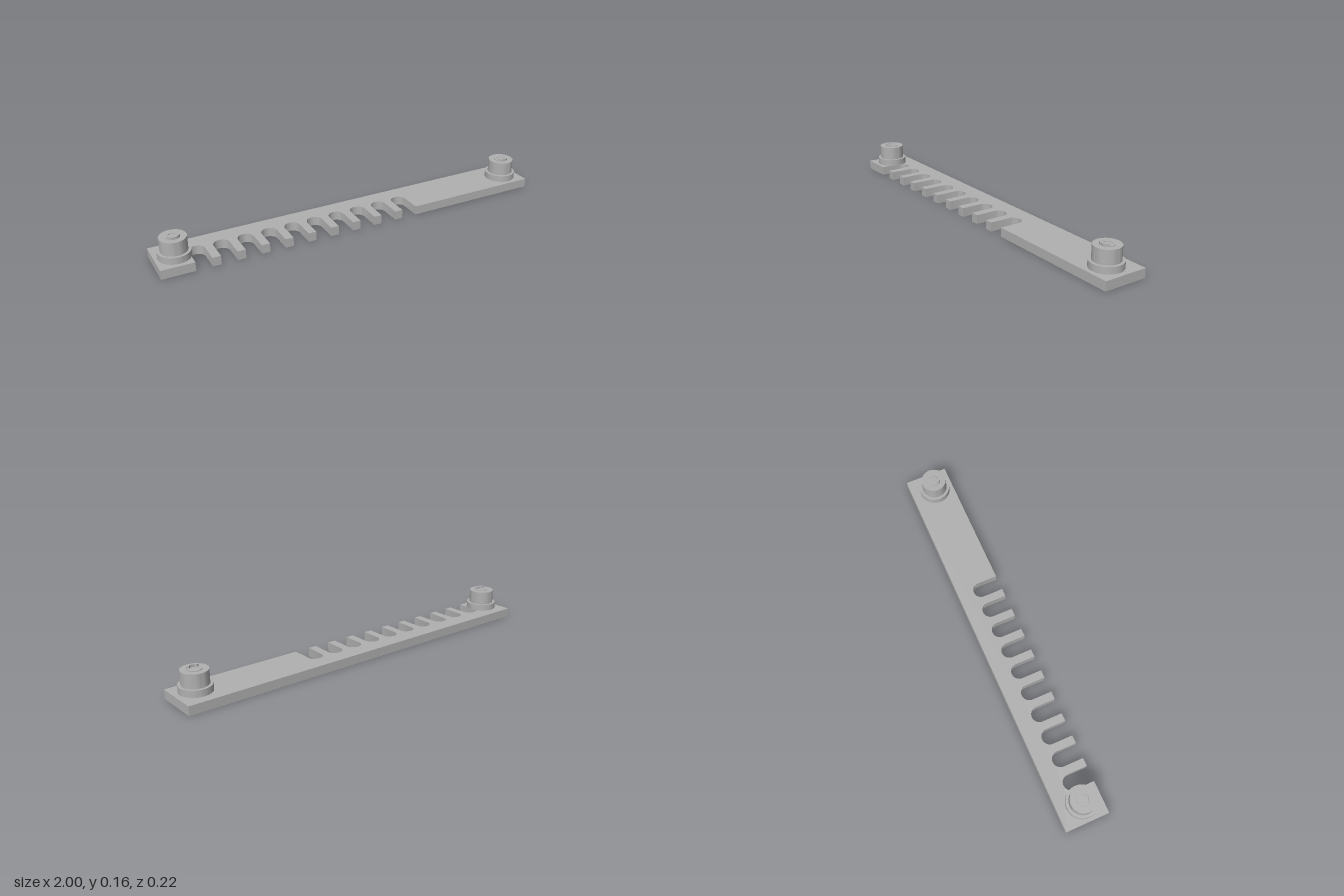
import * as THREE from 'three';
import { toCreasedNormals } from 'three/addons/utils/BufferGeometryUtils.js';

const grey = new THREE.MeshStandardMaterial({ color: 0xb0b0b0 });
grey.name = 'metal grey';

const PLATE_TOP = 0.045;

function mesh(name, geometry, parent) {
  const m = new THREE.Mesh(geometry, grey);
  m.name = name;
  parent.add(m);
  return m;
}

// Extrudes a plan outline (shape y = -z) upwards from y0 to y1
function slab(shape, y0, y1) {
  const g = new THREE.ExtrudeGeometry(shape, { depth: y1 - y0, bevelEnabled: false, curveSegments: 20 });
  g.rotateX(-Math.PI / 2);
  g.translate(0, y0, 0);
  return toCreasedNormals(g, Math.PI / 6);
}

// Flat bar with a comb of round-ended slots cut in from the front edge
function plateShape() {
  const s = new THREE.Shape();
  const r = 0.039, front = -0.11, arcCentre = -0.009;
  s.moveTo(-1, front);
  for (let i = 0; i < 10; i++) {
    const x = -0.802 + i * 0.1186;
    s.lineTo(x - r, front);
    s.lineTo(x - r, arcCentre);
    s.absarc(x, arcCentre, r, Math.PI, 0, true);
    s.lineTo(x + r, front);
  }
  s.lineTo(1, front);
  s.lineTo(1, 0.11);
  s.lineTo(-1, 0.11);
  s.closePath();
  return s;
}

// Part of a ring between two angles
function arcShape(inner, outer, a0, a1) {
  const s = new THREE.Shape();
  s.absarc(0, 0, outer, a0, a1, false);
  s.absarc(0, 0, inner, a1, a0, true);
  s.closePath();
  return s;
}

function createKnob(name, x) {
  const knob = new THREE.Group();
  knob.name = name;
  knob.position.set(x, 0, 0.013);

  // Wide flange with a narrower head above it
  const profile = [
    [0, PLATE_TOP], [0.0775, PLATE_TOP], [0.0775, 0.078],
    [0.0635, 0.078], [0.0635, 0.146], [0, 0.146],
  ].map(([r, y]) => new THREE.Vector2(r, y));
  mesh('flangedHead', toCreasedNormals(new THREE.LatheGeometry(profile, 48), Math.PI / 6), knob);

  // Low rim on the head, with its front part raised
  const rim = new THREE.Shape().absarc(0, 0, 0.034, 0, Math.PI * 2, false);
  rim.holes.push(new THREE.Path().absarc(0, 0, 0.022, 0, Math.PI * 2, true));
  mesh('lowRim', slab(rim, 0.144, 0.149), knob);
  mesh('raisedTab', slab(arcShape(0.022, 0.034, Math.PI * 1.15, Math.PI * 1.85), 0.144, 0.158), knob);
  return knob;
}

export function createModel() {
  const model = new THREE.Group();
  model.name = 'slottedBar';
  mesh('slottedPlate', slab(plateShape(), 0, PLATE_TOP), model);
  model.add(createKnob('rightKnob', -0.906), createKnob('leftKnob', 0.898));
  return model;
}
